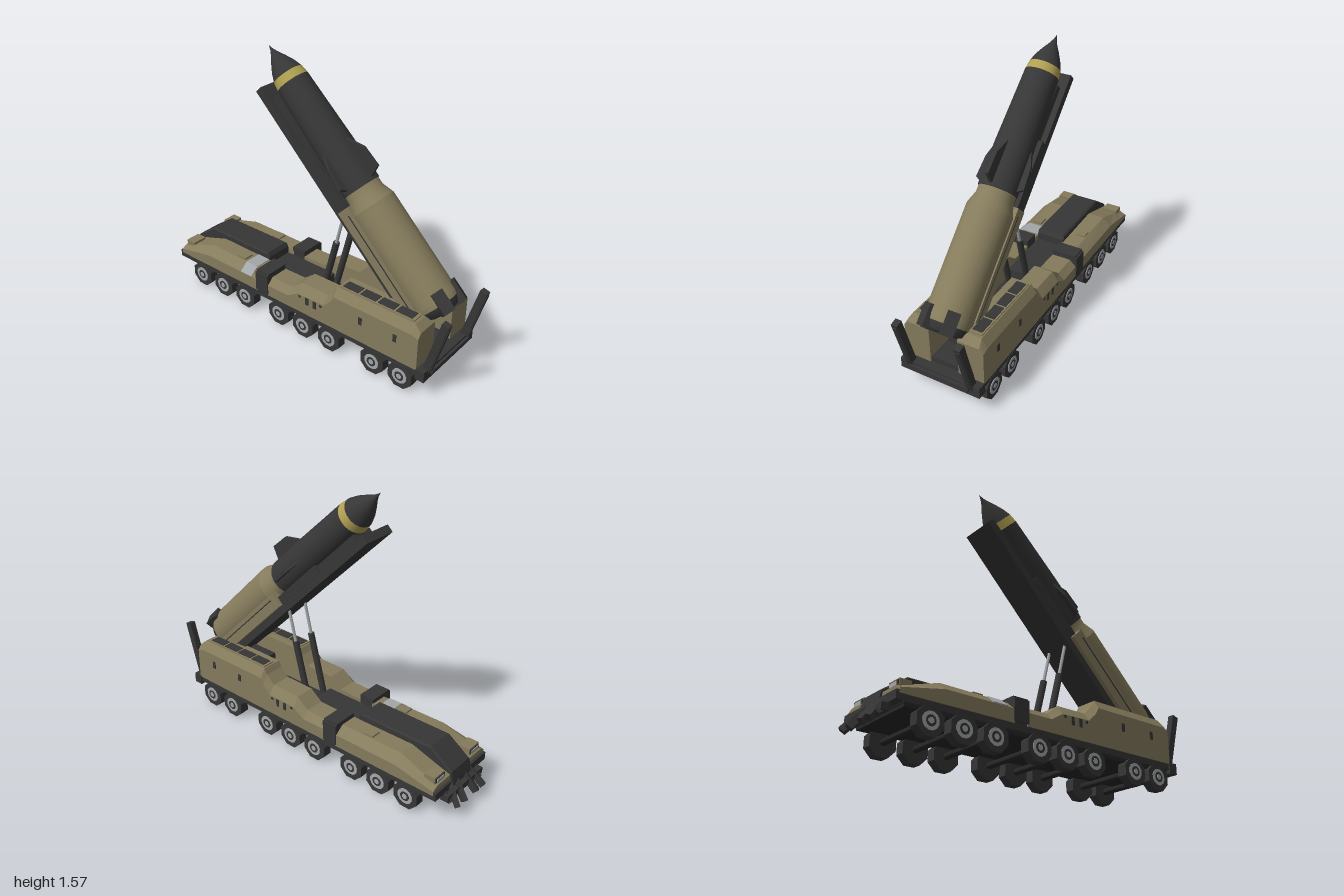
import * as THREE from 'three';

const mat = (name, color) => {
  const m = new THREE.MeshStandardMaterial({ color });
  m.name = name;
  return m;
};

export function createModel() {
  const tan = mat('sand paint', 0x857b5c);
  const dark = mat('dark grey', 0x363637);
  const under = mat('underside black', 0x272727);
  const steel = mat('light steel', 0xa3a6a8);
  const yellow = mat('yellow band', 0xb0a052);
  const root = new THREE.Group();
  root.name = 'missileCarrier';

  const add = (parent, name, geo, m, x = 0, y = 0, z = 0) => {
    const mesh = new THREE.Mesh(geo, m);
    mesh.name = name;
    mesh.position.set(x, y, z);
    parent.add(mesh);
    return mesh;
  };
  // Box given by its limits on each axis
  const box = (parent, name, m, [x0, x1], [y0, y1], [z0, z1]) =>
    add(parent, name, new THREE.BoxGeometry(Math.abs(x1 - x0), y1 - y0, Math.abs(z1 - z0)), m,
      (x0 + x1) / 2, (y0 + y1) / 2, (z0 + z1) / 2);
  // Piece stretched between two points
  const between = (parent, name, geoOf, m, a, b) => {
    const p = new THREE.Vector3(...a), q = new THREE.Vector3(...b);
    const mesh = add(parent, name, geoOf(p.distanceTo(q)), m);
    mesh.position.copy(p).lerp(q, 0.5);
    mesh.quaternion.setFromUnitVectors(new THREE.Vector3(0, 1, 0), q.sub(p).normalize());
    return mesh;
  };
  const bar = (w, d) => (l) => new THREE.BoxGeometry(w, l, d);
  const rod = (r) => (l) => new THREE.CylinderGeometry(r, r, l, 10);
  // Faceted cylinder lying along x
  const disc = (r, w, n) => {
    const g = new THREE.CylinderGeometry(r, r, w, n, 1, false, Math.PI / n).rotateZ(Math.PI / 2).toNonIndexed();
    g.computeVertexNormals();
    return g;
  };
  // Faceted hull from cross-sections, each [z, ring], running from +z to -z
  const loft = (sections, flip = false) => {
    const pos = [];
    const rings = sections.map(([z, ring]) => ring.map(([x, y]) => [flip ? -x : x, y, z]));
    const tri = (a, b, c) => pos.push(...a, ...(flip ? c : b), ...(flip ? b : c));
    const n = rings[0].length, last = rings[rings.length - 1];
    for (let k = 0; k + 1 < rings.length; k++) {
      for (let i = 0; i < n; i++) {
        const j = (i + 1) % n, A = rings[k], B = rings[k + 1];
        tri(A[i], B[i], B[j]);
        tri(A[i], B[j], A[j]);
      }
    }
    for (let i = 1; i + 1 < n; i++) {
      tri(rings[0][0], rings[0][i], rings[0][i + 1]);
      tri(last[0], last[i + 1], last[i]);
    }
    const g = new THREE.BufferGeometry();
    g.setAttribute('position', new THREE.Float32BufferAttribute(pos, 3));
    g.computeVertexNormals();
    return g;
  };
  // Half hull section: outer wall, shoulder bevel, flat roof
  const half = ([z, ySide, yTop, xTop, grow = 0]) => [z, [[0.085, 0.165], [0.238 + grow, 0.165],
    [0.238 + grow, ySide + grow], [xTop + grow, yTop + grow], [0.085, yTop + grow]]];

  // Chassis and running gear
  box(root, 'chassisFloor', under, [-0.215, 0.215], [0.115, 0.15], [-0.86, 0.86]);
  box(root, 'chassisDeck', dark, [-0.232, 0.232], [0.132, 0.17], [-0.87, 0.87]);
  box(root, 'frontSill', dark, [-0.24, 0.24], [0.11, 0.172], [0.845, 0.9]);
  box(root, 'frontCrossbar', dark, [-0.18, 0.18], [0.135, 0.16], [0.9, 0.915]);
  for (const z of [0.75, 0.57, 0.273, 0.086, -0.097, -0.365, -0.547, -0.73]) {
    add(root, 'axle', disc(0.018, 0.38, 8), under, 0, 0.073, z);
    for (const s of [1, -1]) {
      add(root, 'tyre', disc(0.079, 0.056, 8), dark, s * 0.207, 0.073, z);
      add(root, 'wheelRim', disc(0.046, 0.006, 12), steel, s * 0.235, 0.073, z);
      add(root, 'hubRing', disc(0.028, 0.005, 12), dark, s * 0.237, 0.073, z);
      add(root, 'hubCap', disc(0.016, 0.004, 8), steel, s * 0.239, 0.073, z);
    }
  }

  // Launch trough and hood between the side hulls
  box(root, 'troughFloor', dark, [-0.086, 0.086], [0.16, 0.2], [-0.3, 0.84]);
  box(root, 'pivotBlock', dark, [-0.075, 0.075], [0.2, 0.33], [0.5, 0.7]);
  box(root, 'troughTail', dark, [-0.086, 0.086], [0.2, 0.25], [-0.31, 0.06]);
  const hood = [[-0.3, 0.295], [-0.315, 0.32], [-0.77, 0.32], [-0.905, 0.225], [-0.92, 0.165]]
    .map(([z, y]) => [z, [[-0.086, 0.15], [0.086, 0.15], [0.086, y - 0.008], [0.076, y], [-0.076, y], [-0.086, y - 0.008]]]);
  add(root, 'hood', loft(hood), dark);

  for (const s of [1, -1]) {
    const flip = s < 0;
    const X = (a, b) => [s * a, s * b];
    // Armoured side hulls
    add(root, 'launcherHull', loft([
      [0.85, 0.355, 0.385, 0.215], [0.81, 0.37, 0.42, 0.205], [0.31, 0.37, 0.42, 0.205],
      [0.29, 0.335, 0.385, 0.205], [0.24, 0.285, 0.335, 0.2], [0.055, 0.28, 0.333, 0.2],
      [-0.02, 0.235, 0.275, 0.2], [-0.175, 0.235, 0.272, 0.2]].map(half), flip), tan);
    add(root, 'cabHull', loft([
      [-0.255, 0.238, 0.28, 0.185], [-0.66, 0.238, 0.285, 0.185],
      [-0.8, 0.21, 0.24, 0.195], [-0.9, 0.19, 0.21, 0.2]].map(half), flip), tan);
    box(root, 'jointCover', dark, X(0.085, 0.232), [0.168, 0.305], [-0.262, -0.17]);
    box(root, 'jointSide', dark, X(0.2, 0.243), [0.175, 0.295], [-0.262, -0.17]);
    box(root, 'roofHatch', tan, X(0.12, 0.178), [0.27, 0.292], [-0.465, -0.405]);

    // Roof grilles
    box(root, 'grilleFrame', tan, X(0.122, 0.198), [0.41, 0.426], [0.32, 0.795]);
    for (let i = 0; i < 4; i++) {
      const z = 0.335 + i * 0.114;
      box(root, 'grille', dark, X(0.132, 0.188), [0.425, 0.43], [z, z + 0.1]);
    }
    // Side vents and ports
    for (const [z, y, w, h] of [[0.71, 0.3, 0.022, 0.045], [0.49, 0.3, 0.022, 0.045], [0.177, 0.257, 0.02, 0.045],
      [0.123, 0.257, 0.02, 0.045], [0.22, 0.27, 0.014, 0.014], [0.07, 0.27, 0.014, 0.014]]) {
      box(root, 'sideVent', dark, X(0.237, 0.241), [y - h / 2, y + h / 2], [z - w / 2, z + w / 2]);
    }
    // Headlamps
    box(root, 'lampHousing', tan, X(0.115, 0.205), [0.195, 0.248], [-0.885, -0.82]);
    box(root, 'lampSurround', dark, X(0.12, 0.2), [0.207, 0.242], [-0.889, -0.885]);
    box(root, 'lampGlass', steel, X(0.13, 0.19), [0.213, 0.236], [-0.893, -0.889]);

    // Tilted stabiliser posts
    between(root, 'stabiliserPost', bar(0.036, 0.042), dark, [s * 0.183, 0.482, 0.975], [s * 0.183, 0.12, 0.873]);
    between(root, 'postFace', bar(0.022, 0.02), dark, [s * 0.183, 0.46, 0.985], [s * 0.183, 0.16, 0.9]);

    // Lifting rams
    between(root, 'ramCylinder', rod(0.019), dark, [s * 0.065, 0.2, 0.09], [s * 0.065, 0.585, 0.19]);
    between(root, 'ramPiston', rod(0.009), steel, [s * 0.065, 0.57, 0.186], [s * 0.065, 0.83, 0.25]);

    // Bumper claws
    for (const [x0, x1] of [[0.035, 0.055], [0.085, 0.12]]) {
      between(root, 'bumperClaw', bar(0.028, 0.036), dark, [s * x0, 0.165, -0.895], [s * x1, 0.062, -0.98]);
    }
    between(root, 'bumperStrut', bar(0.03, 0.03), dark, [s * 0.15, 0.17, -0.87], [s * 0.13, 0.09, -0.945]);
  }
  // Pale roof panel on one side only
  add(root, 'paleRoofPanel', loft([[-0.3, 0.238, 0.28, 0.185, 0.004], [-0.385, 0.238, 0.281, 0.185, 0.004]].map(half)
    .map(([z, r]) => [z, [[0.085, 0.27], [0.2, 0.235], ...r.slice(2)]]), true), steel);
  box(root, 'bumperBar', dark, [-0.235, 0.235], [0.135, 0.18], [-0.915, -0.86]);
  box(root, 'bumperLip', dark, [-0.165, 0.165], [0.1, 0.135], [-0.945, -0.9]);

  // Missile and rail: local y runs along the axis, local z points to the upper side
  const launcher = new THREE.Group();
  launcher.name = 'raisedMissile';
  launcher.position.set(0, 0.6175, 0.6175);
  launcher.rotation.x = -Math.PI / 4;
  root.add(launcher);
  const lathe = (name, m, pts) =>
    add(launcher, name, new THREE.LatheGeometry(pts.map((p) => new THREE.Vector2(...p)), 32), m);
  lathe('tailNozzle', dark, [[0, -0.29], [0.06, -0.29], [0.075, -0.32], [0.105, -0.31], [0.122, -0.27]]);
  lathe('boosterBody', tan, [[0.122, -0.27], [0.127, -0.24], [0.127, 0.34]]);
  lathe('boosterShoulder', tan, [[0.127, 0.34], [0.103, 0.405], [0.102, 0.45]]);
  lathe('boosterCollar', dark, [[0.1, 0.447], [0.108, 0.448]]);
  lathe('upperStage', dark, [[0.108, 0.448], [0.106, 0.7], [0.1, 0.9], [0.094, 1.11]]);
  lathe('warningBand', yellow, [[0.094, 1.11], [0.087, 1.158]]);
  lathe('noseCone', dark, [[0.087, 1.158], [0.07, 1.205], [0.045, 1.252], [0.022, 1.29], [0.009, 1.317], [0, 1.346]]);

  // Fins: one above, one on each side
  for (const [turn, reach] of [[0, 0.182], [Math.PI / 2, 0.143], [-Math.PI / 2, 0.143]]) {
    const outline = new THREE.Shape([[0.08, 0.455], [reach, 0.489], [reach - 0.008, 0.61], [0.104, 0.7], [0.08, 0.7]]
      .map((p) => new THREE.Vector2(...p)));
    const g = new THREE.ExtrudeGeometry(outline, { depth: 0.018, bevelEnabled: false });
    g.translate(0, 0, -0.009).rotateY(-Math.PI / 2 + turn);
    add(launcher, 'fin', g, dark);
  }
  // Tail clamps
  for (const a of [0.6, -0.6]) {
    const clamp = new THREE.Group();
    clamp.name = 'tailClamp';
    clamp.rotation.y = a;
    launcher.add(clamp);
    box(clamp, 'clampArm', dark, [-0.033, 0.033], [-0.32, -0.2], [0.1, 0.143]);
    box(clamp, 'clampFoot', dark, [-0.033, 0.033], [-0.325, -0.27], [0.05, 0.12]);
  }
  // Launch rail and cradle
  box(launcher, 'launchRail', dark, [-0.103, 0.103], [-0.26, 1.185], [-0.168, -0.122]);
  box(launcher, 'railSpine', dark, [-0.07, 0.07], [-0.24, 1.1], [-0.122, -0.08]);
  for (const s of [1, -1]) {
    box(launcher, 'cradleSide', tan, [s * 0.07, s * 0.128], [-0.22, 0.4], [-0.125, -0.04]);
    box(launcher, 'railGuide', dark, [s * 0.08, s * 0.106], [0.4, 0.78], [-0.124, -0.075]);
    box(launcher, 'cradleTrim', dark, [s * 0.126, s * 0.131], [-0.2, 0.36], [-0.07, -0.064]);
  }
  return root;
}
